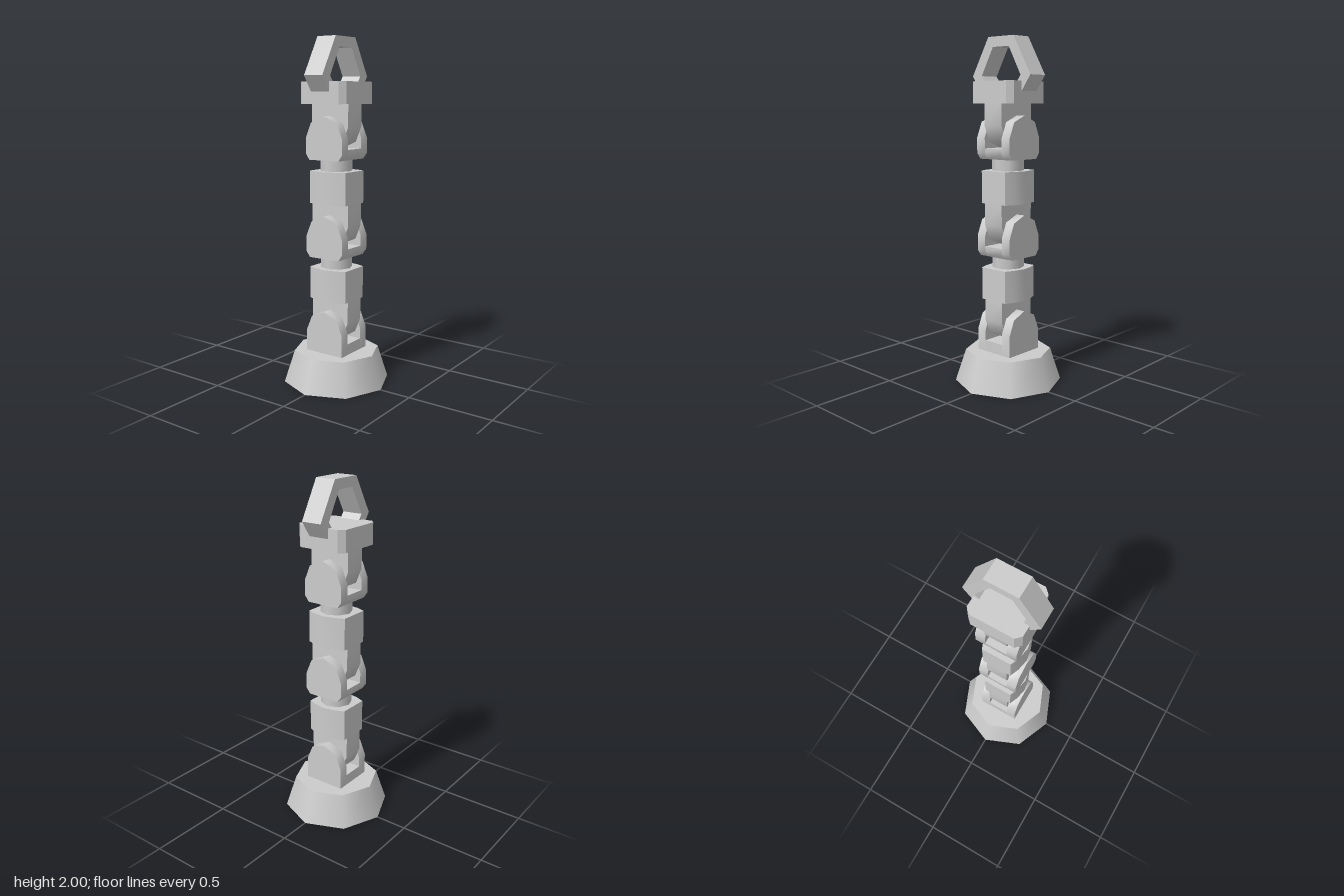
import * as THREE from 'three';
import { toCreasedNormals } from 'three/addons/utils/BufferGeometryUtils.js';

const material = new THREE.MeshStandardMaterial({ color: 0xcccccc });

function add(parent, name, geometry) {
  const mesh = new THREE.Mesh(geometry, material);
  mesh.name = name;
  parent.add(mesh);
  return mesh;
}

// Extrude a closed outline, with soft bends up to 50 degrees
function extrude(points, depth, crease = 0.88, hole) {
  const shape = new THREE.Shape(points.map(p => new THREE.Vector2(...p)));
  if (hole) shape.holes.push(new THREE.Path(hole.map(p => new THREE.Vector2(...p))));
  const g = new THREE.ExtrudeGeometry(shape, { depth, bevelEnabled: false, steps: 1 });
  return toCreasedNormals(g, crease);
}

// Complete a right-hand outline (bottom to top) with its mirror image
const mirrored = half => [
  ...half,
  ...half.filter(p => p[0] > 0).reverse().map(([x, y]) => [-x, y]),
];

// Side profile (z, y) extruded across x from x0 to x1
const sideways = (points, x0, x1) =>
  extrude(points, x1 - x0).rotateY(Math.PI / 2).translate(x0, 0, 0);

// Plan outline (x, z) extruded upwards from y0 to y1
const upright = (points, y0, y1, crease) =>
  extrude(points, y1 - y0, crease).rotateX(-Math.PI / 2).translate(0, y0, 0);

const R = 0.125, D = 0.088, SLOT = 0.065;

// Two rounded cheeks joined by a floor; c is the hinge height
function addFork(parent, c, lower) {
  const fork = new THREE.Group();
  fork.name = 'fork';
  const cheek = mirrored([...lower, [R, c], [D, c + D], [0, c + R]]);
  add(fork, 'leftCheek', sideways(cheek, SLOT, R));
  add(fork, 'rightCheek', sideways(cheek, -R, -SLOT));
  add(fork, 'forkFloor', sideways(mirrored([...lower, [R, c - 0.06]]), -SLOT, SLOT));
  parent.add(fork);
}

// Tongue with a faceted round lower end sitting in the fork
function addTongue(parent, c, top) {
  const k = c + 0.065;
  const outline = mirrored([[0, k - R], [D, k - D], [R, k], [R, top]]);
  add(parent, 'tongue', sideways(outline, -SLOT, SLOT));
}

export function createModel() {
  const model = new THREE.Group();
  model.name = 'jointedArm';

  // Octagonal foot
  add(model, 'base', new THREE.CylinderGeometry(0.25, 0.312, 0.19, 8).translate(0, 0.095, 0));

  // Lowest fork stands straight on the foot
  addFork(model, 0.315, [[R, 0.18]]);
  addTongue(model, 0.315, 0.505);

  // Two identical links: block, neck, fork and the next tongue
  const blockPlan = [
    [-0.09, -R], [0.09, -R], [0.112, -0.07], [R, 0], [0.112, 0.07],
    [0.09, R], [-0.09, R], [-0.112, 0.07], [-R, 0], [-0.112, -0.07],
  ];
  [0.502, 1.065].forEach((y, i) => {
    const link = new THREE.Group();
    link.name = i ? 'upperLink' : 'lowerLink';
    add(link, 'block', upright(blockPlan, y, y + 0.187));
    add(link, 'neck', new THREE.CylinderGeometry(0.092, 0.092, 0.08, 8).translate(0, y + 0.22, 0));
    const c = y + 0.374;
    addFork(link, c, [[0.1, c - 0.122], [R, c - 0.088]]);
    addTongue(link, c, i ? 1.64 : 1.07);
    model.add(link);
  });

  // Square cap with cut corners
  const S = 0.156, K = 0.125;
  add(model, 'cap', upright(
    [[-K, -S], [K, -S], [S, -K], [S, K], [K, S], [-K, S], [-S, K], [-S, -K]],
    1.63, 1.753, 0.3));

  // Six-sided loop sunk into the cap
  const outer = mirrored([[0.115, 1.64], [0.218, 1.785], [0.095, 2.0]]);
  const inner = mirrored([[0.07, 1.68], [0.147, 1.785], [0.06, 1.943]]);
  add(model, 'loop', extrude(outer, 0.124, 0.3, inner).translate(0, 0, -0.062));

  return model;
}
